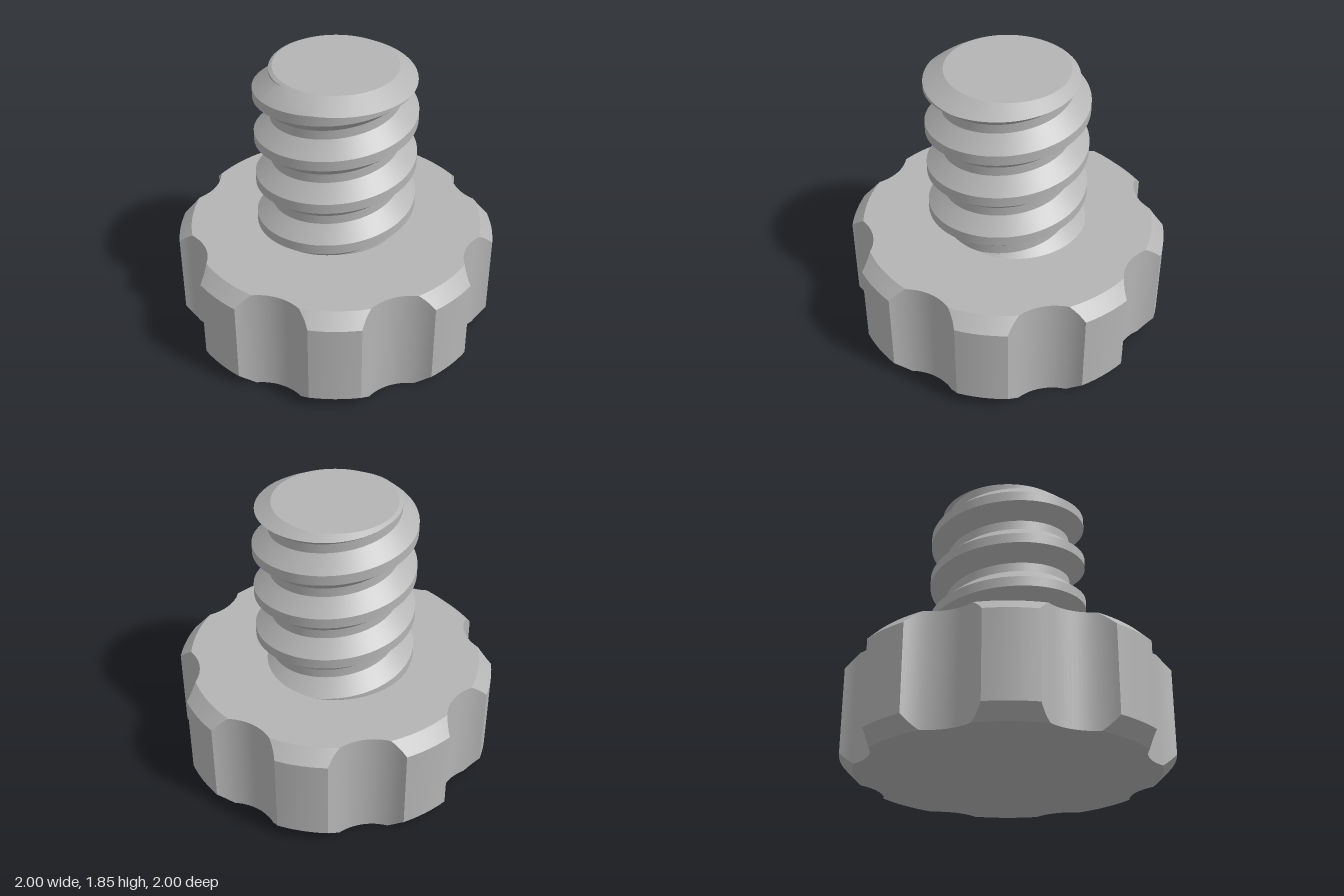
import * as THREE from 'three';
import { toCreasedNormals } from 'three/addons/utils/BufferGeometryUtils.js';

// Skins a ring of radial profiles; each column is { t: angle, pts: [[radius, y], ...] }, bottom to top.
function skinColumns(columns) {
  const out = [];
  const a = new THREE.Vector3(), b = new THREE.Vector3();
  const point = (col, j) => new THREE.Vector3(
    Math.cos(col.t) * col.pts[j][0], col.pts[j][1], Math.sin(col.t) * col.pts[j][0]);
  const tri = (p, q, r) => {
    a.subVectors(q, p).cross(b.subVectors(r, p));
    if (a.length() > 1e-9) out.push(...p.toArray(), ...q.toArray(), ...r.toArray());
  };
  for (let i = 0; i + 1 < columns.length; i++) {
    for (let j = 0; j + 1 < columns[i].pts.length; j++) {
      const p = point(columns[i], j), q = point(columns[i], j + 1);
      const r = point(columns[i + 1], j), s = point(columns[i + 1], j + 1);
      tri(p, q, r);
      tri(r, q, s);
    }
  }
  const geo = new THREE.BufferGeometry();
  geo.setAttribute('position', new THREE.Float32BufferAttribute(out, 3));
  return toCreasedNormals(geo, 0.4);
}

const KNOB_TOP = 0.72;

// Chamfered disc with eight round finger scallops
function knobGeometry() {
  const outer = 1.0277, rim = 0.943, dist = 1.207, cut = 0.317, lobes = 8;
  const step = (Math.PI * 2) / lobes;
  const meet = (r) => Math.acos((dist * dist + cut * cut - r * r) / (2 * dist * cut));
  const pOuter = meet(outer), pRim = meet(rim);

  // Angles around the scallop circle, with stops where it meets the rim and the outer wall
  const stops = [-pOuter, -pRim, pRim, pOuter], counts = [5, 12, 5];
  const phis = [-pOuter];
  counts.forEach((n, k) => {
    for (let i = 1; i <= n; i++) phis.push(THREE.MathUtils.lerp(stops[k], stops[k + 1], i / n));
  });

  const columns = [];
  const add = (t, wall) => {
    const edge = Math.min(rim, wall), drop = wall - edge;
    columns.push({ t, pts: [[0, 0], [edge, 0], [wall, drop],
      [wall, KNOB_TOP - drop], [edge, KNOB_TOP], [0, KNOB_TOP]] });
  };
  for (let k = 0; k < lobes; k++) {
    let end = 0;
    for (const phi of phis) {
      const x = dist - cut * Math.cos(phi), z = cut * Math.sin(phi);
      end = Math.atan2(z, x);
      add(k * step + end, Math.hypot(x, z));
    }
    // Outer wall between two scallops
    for (let i = 1; i < 6; i++) add(k * step + THREE.MathUtils.lerp(end, step - end, i / 6), outer);
  }
  columns.push({ t: columns[0].t + Math.PI * 2, pts: columns[0].pts });
  return skinColumns(columns);
}

// Single-start helical thread, its end trimmed by a shallow cone and capped flat
function threadGeometry() {
  const top = 1.85, capR = 0.385, root = 0.407, crest = 0.51, pitch = 0.305, segs = 96;
  const tooth = [[root, -0.1225], [crest, -0.0325], [crest, 0.0325], [root, 0.1225]];
  const beyond = ([r, y]) => r - capR - 1.73 * (top - y);

  const columns = [];
  for (let i = 0; i <= segs; i++) {
    const t = -Math.PI + (i / segs) * Math.PI * 2;
    const centre = 1.395 + (pitch * (Math.PI - t)) / (Math.PI * 2);
    const pts = [];
    let last = null, trimmed = null;
    for (let k = -4; k <= 2; k++) {
      for (const [r, dy] of tooth) {
        const p = [r, centre + k * pitch + dy];
        if (!trimmed && beyond(p) > 0) {
          const f0 = beyond(last), s = f0 / (f0 - beyond(p));
          trimmed = [last[0] + (p[0] - last[0]) * s, last[1] + (p[1] - last[1]) * s];
        }
        pts.push(trimmed || p);
        last = p;
      }
    }
    pts.push([capR, top], [0, top]);
    columns.push({ t, pts });
  }
  return skinColumns(columns);
}

export function createModel() {
  const grey = new THREE.MeshStandardMaterial({ color: 0xb4b4b4 });
  grey.name = 'plain grey';

  const model = new THREE.Group();
  model.name = 'thumbScrew';
  const add = (name, geometry) => {
    const mesh = new THREE.Mesh(geometry, grey);
    mesh.name = name;
    model.add(mesh);
  };
  add('scallopedKnob', knobGeometry());
  add('threadedShaft', threadGeometry());
  return model;
}
